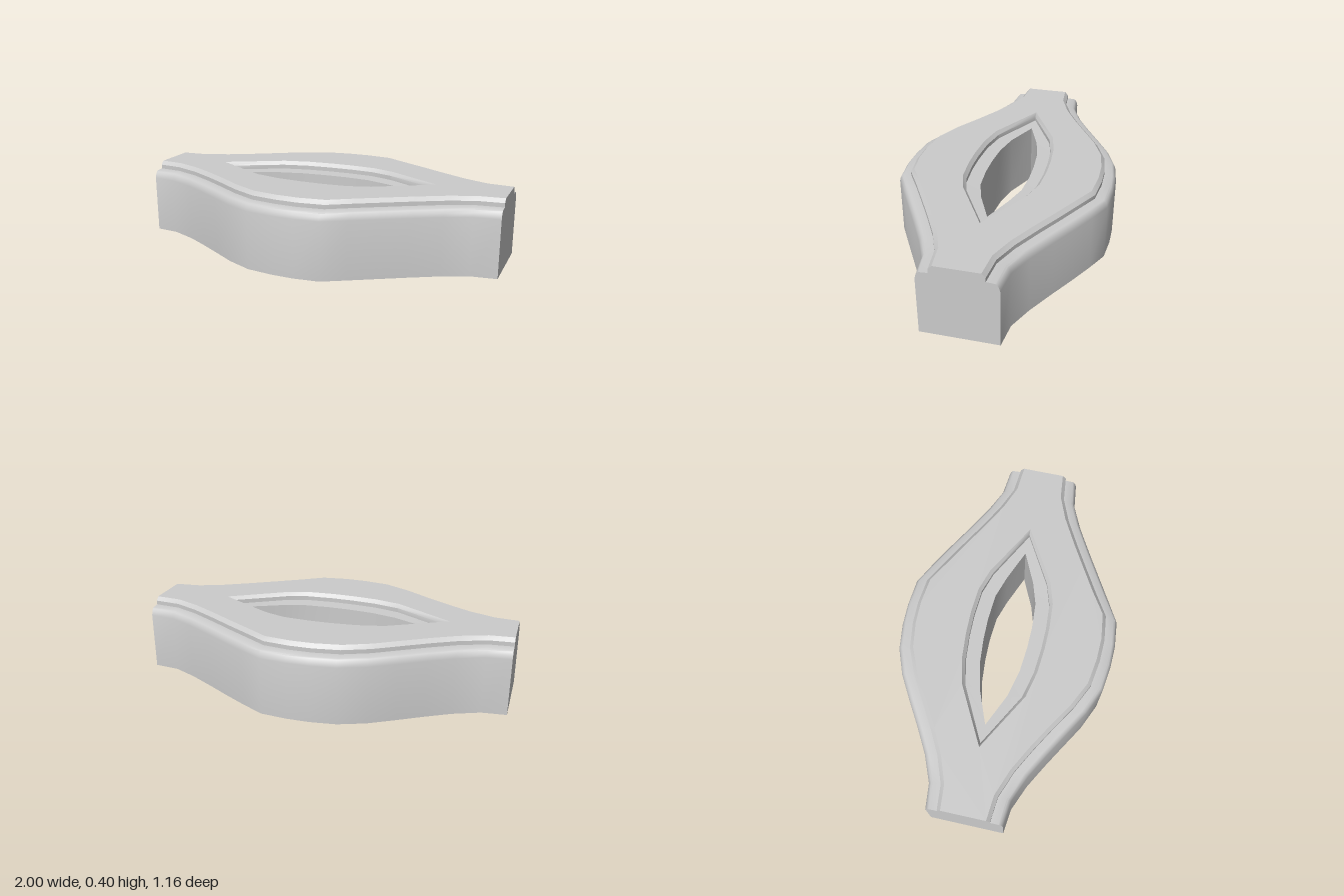
import * as THREE from 'three';
import { mergeGeometries, toCreasedNormals } from 'three/addons/utils/BufferGeometryUtils.js';

// Half-width of the outline along x: [x, half width, centre z]
const OUTLINE = [
  [-1, 0.2, -0.01], [-0.87, 0.214, -0.01], [-0.73, 0.272, -0.01], [-0.6, 0.345, -0.01], [-0.47, 0.423, -0.01],
  [-0.34, 0.5, -0.008], [-0.2, 0.558, -0.004], [-0.06, 0.577, -0.004], [0.06, 0.58, -0.003], [0.2, 0.567, -0.004],
  [0.32, 0.503, -0.008], [0.45, 0.43, -0.01], [0.58, 0.355, -0.01], [0.73, 0.272, -0.01], [0.86, 0.214, -0.01], [1, 0.198, -0.012],
];
// Half-width of the through hole between its two pointed tips
const HOLE = [[-0.34, 0.075], [-0.2, 0.108], [-0.06, 0.12], [0.06, 0.122], [0.2, 0.112], [0.32, 0.074]];

const slope = (pts, i) => {
  const a = pts[Math.max(i - 1, 0)], b = pts[Math.min(i + 1, pts.length - 1)];
  return (b[1] - a[1]) / (b[0] - a[0]);
};

// Closed outer loop at height y, moved inwards by inset
function outerLoop(inset, y) {
  const half = (s) => OUTLINE.map(([x, w, c], i) => {
    const k = i === 0 || i === OUTLINE.length - 1 ? 1 : Math.hypot(1, slope(OUTLINE, i));
    return [x, y, c + s * (w - inset * k)];
  });
  return [...half(-1), ...half(1).reverse()];
}

// Closed almond loop at height y, widened by grow, with tips at x0 and x1
function holeLoop(grow, x0, x1, y) {
  const half = (s) => HOLE.map(([x, w], i) =>
    [x, y, -0.005 + s * (w + grow * Math.hypot(1, slope(HOLE, i) * 0.6))]);
  return [[x0, y, -0.01], ...half(-1), [x1, y, -0.01], ...half(1).reverse()];
}

// Skin joining a series of closed loops
function loft(loops) {
  const n = loops[0].length, index = [];
  for (let k = 0; k < loops.length - 1; k++) {
    for (let i = 0; i < n; i++) {
      const j = (i + 1) % n;
      const a = k * n + i, b = k * n + j, c = a + n, d = b + n;
      index.push(a, c, b, b, c, d);
    }
  }
  const g = new THREE.BufferGeometry();
  g.setAttribute('position', new THREE.Float32BufferAttribute(loops.flat(2), 3));
  g.setIndex(index);
  return g.toNonIndexed();
}

// Flat face between an outer loop and a hole loop
function face(outer, hole, up) {
  const flat = (loop) => loop.map(([x, , z]) => new THREE.Vector2(x, up ? -z : z));
  const shape = new THREE.Shape(flat(outer));
  shape.holes.push(new THREE.Path(flat(hole)));
  const g = new THREE.ShapeGeometry(shape);
  g.rotateX(up ? -Math.PI / 2 : Math.PI / 2).translate(0, outer[0][1], 0);
  g.deleteAttribute('uv');
  g.deleteAttribute('normal');
  return g.toNonIndexed();
}

export function createModel() {
  const group = new THREE.Group();
  group.name = 'stretchedLink';
  const material = new THREE.MeshStandardMaterial({ color: 0xcccccc });

  // Outer side: wall, eased shoulder, ledge, step and bevel
  const outer = [[0, 0], [0, 0.31], [0.005, 0.33], [0.014, 0.345], [0.022, 0.35], [0.065, 0.353], [0.065, 0.375], [0.084, 0.395]]
    .map(([inset, y]) => outerLoop(inset, y));

  // Inner side: bevel, step, ledge and hole wall
  const inner = [
    holeLoop(0.094, -0.65, 0.62, 0.395),
    holeLoop(0.076, -0.625, 0.595, 0.375),
    holeLoop(0.076, -0.625, 0.595, 0.352),
    holeLoop(0, -0.52, 0.49, 0.348),
    holeLoop(0, -0.52, 0.49, 0),
  ];

  const add = (name, geometry) => {
    const mesh = new THREE.Mesh(toCreasedNormals(geometry, 0.55), material);
    mesh.name = name;
    group.add(mesh);
  };
  add('outerSides', loft(outer));
  add('holeSides', loft(inner));
  add('topAndBottomFaces', mergeGeometries([
    face(outer[outer.length - 1], inner[0], true),
    face(outer[0], inner[inner.length - 1], false),
  ]));
  return group;
}
